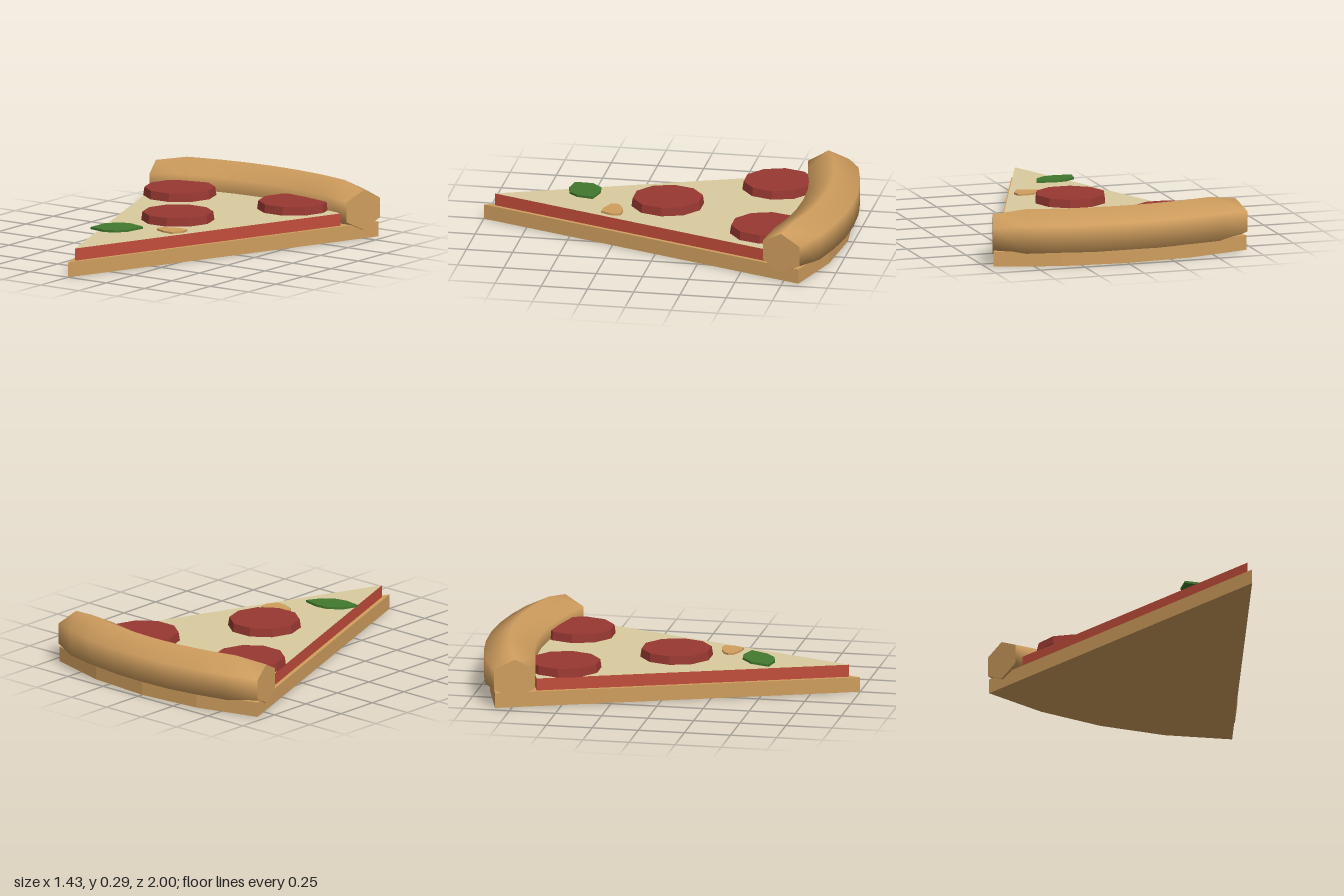
import * as THREE from 'three';

const mat = (name, color) => {
  const m = new THREE.MeshStandardMaterial({ color });
  m.name = name;
  return m;
};

// Outline of a wedge, pointed at z = tip, with a curved back of the given radius
function wedge(tip, radius, halfAngle, segments) {
  const points = [[0, tip]];
  for (let i = 0; i <= segments; i++) {
    const a = halfAngle * (1 - (2 * i) / segments);
    points.push([radius * Math.sin(a), tip - radius * Math.cos(a)]);
  }
  return points;
}

// Flat slab from [x, z] outline points, standing on height y
function slab(name, points, y, thickness, materials) {
  const shape = new THREE.Shape(points.map(([x, z]) => new THREE.Vector2(x, -z)));
  const geometry = new THREE.ExtrudeGeometry(shape, { depth: thickness, bevelEnabled: false });
  geometry.rotateX(-Math.PI / 2);
  geometry.translate(0, y, 0);
  const mesh = new THREE.Mesh(geometry, materials);
  mesh.name = name;
  return mesh;
}

// Six-sided roll bent along the back arc, narrower at its two ends
function crustGeometry() {
  const R = 1.865, half = 0.373, steps = 8, sides = 6;
  const positions = [], index = [];
  const addRing = (i) => {
    const end = i === 0 || i === steps;
    const a = half * ((2 * i) / steps - 1);
    const turn = end ? a * 0.82 : a;
    const w = end ? 0.127 : 0.156, h = end ? 0.1075 : 0.135;
    for (let j = 0; j < sides; j++) {
      const t = (j / sides) * Math.PI * 2;
      const out = w * Math.sin(t);
      positions.push(
        R * Math.sin(a) + out * Math.sin(turn),
        0.156 + h * Math.cos(t),
        1 - R * Math.cos(a) - out * Math.cos(turn)
      );
    }
  };
  for (let i = 0; i <= steps; i++) addRing(i);
  for (let i = 0; i < steps; i++) {
    for (let j = 0; j < sides; j++) {
      const a = i * sides + j, b = i * sides + ((j + 1) % sides);
      index.push(a, a + sides, b, b, a + sides, b + sides);
    }
  }
  // Flat end caps with their own corners
  for (const i of [0, steps]) {
    const s = positions.length / 3;
    addRing(i);
    for (let j = 1; j < sides - 1; j++) {
      if (i === 0) index.push(s, s + j, s + j + 1);
      else index.push(s, s + j + 1, s + j);
    }
  }
  const geometry = new THREE.BufferGeometry();
  geometry.setAttribute('position', new THREE.Float32BufferAttribute(positions, 3));
  geometry.setIndex(index);
  geometry.computeVertexNormals();
  return geometry;
}

export function createModel() {
  const dough = mat('dough', 0xd09e5e);
  const cheese = mat('cheese', 0xdacca0);
  const sauce = mat('sauce', 0xc24d3b);
  const pepperoniRed = mat('pepperoni red', 0x983831);
  const leafGreen = mat('leaf green', 0x42792e);

  const model = new THREE.Group();
  model.name = 'pizzaSlice';

  // Base, and the filling with a cheese top and sauce sides
  model.add(slab('doughBase', wedge(1, 1.968, 0.368, 4), 0, 0.08, dough));
  model.add(slab('cheeseAndSauce', wedge(0.94, 1.685, 0.368, 4), 0.08, 0.066, [cheese, sauce]));

  // Crust roll
  const crust = new THREE.Mesh(crustGeometry(), dough);
  crust.name = 'crust';
  model.add(crust);

  // Ten-sided pepperoni
  const disc = new THREE.CylinderGeometry(0.188, 0.195, 0.046, 10).rotateY(Math.PI / 10).toNonIndexed();
  disc.computeVertexNormals();
  for (const [x, z] of [[-0.37, -0.525], [0.33, -0.59], [0, 0.005]]) {
    const pepperoni = new THREE.Mesh(disc, pepperoniRed);
    pepperoni.name = 'pepperoni';
    pepperoni.position.set(x, 0.168, z);
    model.add(pepperoni);
  }

  // Mushroom piece
  const piece = [[0.063, 0.27], [0.085, 0.245], [0.137, 0.222], [0.18, 0.215], [0.22, 0.22],
    [0.227, 0.27], [0.195, 0.33], [0.14, 0.325], [0.075, 0.3]];
  model.add(slab('mushroomPiece', piece, 0.146, 0.01, dough));

  // Basil leaf, tilted up towards the back
  const outline = [[-0.185, 0.54], [-0.165, 0.44], [-0.1, 0.383], [-0.037, 0.375],
    [0.058, 0.4], [0.026, 0.49], [-0.026, 0.54], [-0.09, 0.557]];
  const leaf = slab('basilLeaf', outline.map(([x, z]) => [x, z - 0.47]), 0, 0.012, leafGreen);
  leaf.position.set(0, 0.166, 0.47);
  leaf.rotation.x = 0.06;
  model.add(leaf);

  return model;
}
